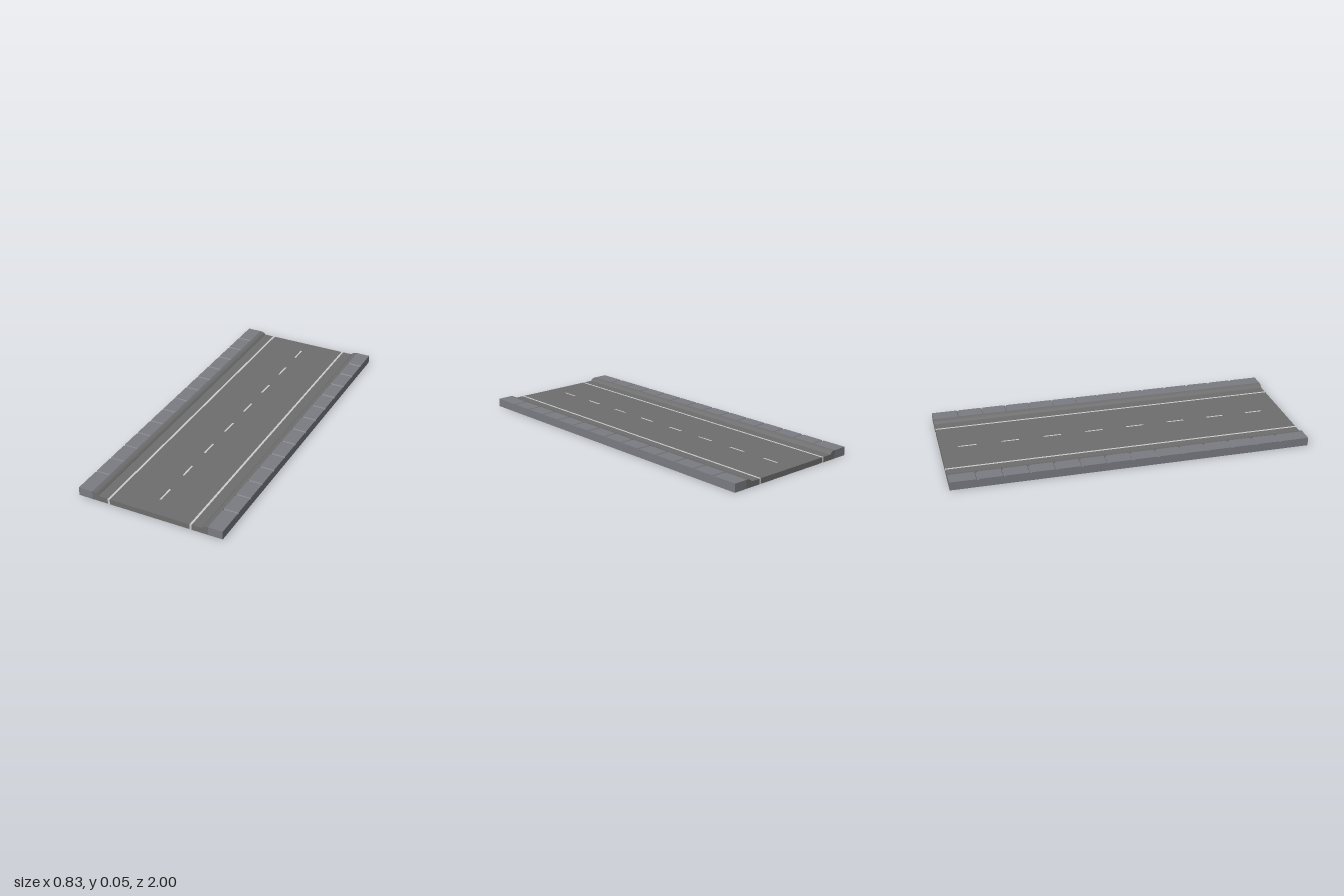
import * as THREE from 'three';

const ROAD_Y = 0.03, WALK_Y = 0.047, GROOVE_Y = 0.042;
const CURB_IN = 0.27, CURB_OUT = 0.336, EDGE = 0.417, HALF = 1;

const material = (color) => new THREE.MeshStandardMaterial({ color, side: THREE.DoubleSide, flatShading: true });

// Thin mesh from four-cornered faces (corners counter-clockwise from the front)
function quadMesh(name, quads, mat) {
  const pos = [];
  for (const [a, b, c, d] of quads) pos.push(...a, ...b, ...c, ...a, ...c, ...d);
  const geo = new THREE.BufferGeometry();
  geo.setAttribute('position', new THREE.Float32BufferAttribute(pos, 3));
  geo.computeVertexNormals();
  const mesh = new THREE.Mesh(geo, mat);
  mesh.name = name;
  return mesh;
}

// Upward panel on the road surface
const panel = (x0, x1, z0, z1) =>
  [[x0, ROAD_Y, z1], [x1, ROAD_Y, z1], [x1, ROAD_Y, z0], [x0, ROAD_Y, z0]];

// Upright end panels at the front and the back
const ends = (x0, x1, y) => [
  [[x0, 0, HALF], [x1, 0, HALF], [x1, y, HALF], [x0, y, HALF]],
  [[x1, 0, -HALF], [x0, 0, -HALF], [x0, y, -HALF], [x1, y, -HALF]],
];

export function createModel() {
  const group = new THREE.Group();
  const asphalt = material(0x6e6e6e);
  const paving = material(0x7a7c82);
  const paint = material(0xc4c4c4);

  // Road surface, open underneath, with the painted areas left out
  const line0 = 0.232, line1 = 0.244, dashHalf = 0.005;
  const road = [], dashes = [];
  for (const [x0, x1] of [[-CURB_IN, -line1], [-line0, -dashHalf], [dashHalf, line0], [line1, CURB_IN]])
    road.push(panel(x0, x1, -HALF, HALF));
  let z = -HALF;
  for (let i = 0; i < 8; i++) {
    const start = -0.9 + i * 0.2405;
    road.push(panel(-dashHalf, dashHalf, z, start));
    dashes.push(panel(-dashHalf, dashHalf, start, start + 0.1));
    z = start + 0.1;
  }
  road.push(panel(-dashHalf, dashHalf, z, HALF));
  for (const [x0, x1] of [[-CURB_IN, -line1], [-line0, line0], [line1, CURB_IN]])
    road.push(...ends(x0, x1, ROAD_Y));
  group.add(quadMesh('roadSurface', road, asphalt), quadMesh('centreDashes', dashes, paint));

  // Lengthwise section of the paving slabs: flat tops with bevelled joints
  const section = [[-HALF, WALK_Y]];
  for (let i = -6; i <= 6; i++) {
    const j = -0.008 + i * 0.1403;
    section.push([j - 0.007, WALK_Y], [j - 0.004, GROOVE_Y], [j + 0.004, GROOVE_Y], [j + 0.007, WALK_Y]);
  }
  section.push([HALF, WALK_Y]);

  for (const s of [1, -1]) {
    const side = s > 0 ? 'left' : 'right';
    const [l0, l1] = s > 0 ? [line0, line1] : [-line1, -line0];
    group.add(quadMesh(side + 'EdgeLine', [panel(l0, l1, -HALF, HALF), ...ends(l0, l1, ROAD_Y)], paint));

    // Curb with a rounded shoulder
    const profile = [
      [CURB_IN, 0], [CURB_OUT, 0], [CURB_OUT, WALK_Y], [0.33, WALK_Y], [0.32, 0.045],
      [0.311, 0.041], [0.304, 0.035], [0.3, ROAD_Y], [CURB_IN, ROAD_Y],
    ];
    const shape = new THREE.Shape(profile.map(([x, y]) => new THREE.Vector2(s * x, y)));
    const curbGeo = new THREE.ExtrudeGeometry(shape, { depth: 2 * HALF, bevelEnabled: false });
    curbGeo.translate(0, 0, -HALF);
    const curb = new THREE.Mesh(curbGeo, asphalt);
    curb.name = side + 'Curb';
    group.add(curb);

    // Sidewalk slabs and outer wall, open underneath
    const [x0, x1] = s > 0 ? [CURB_OUT, EDGE] : [-EDGE, -CURB_OUT];
    const walk = ends(x0, x1, WALK_Y);
    for (let i = 0; i + 1 < section.length; i++) {
      const [za, ya] = section[i], [zb, yb] = section[i + 1];
      walk.push([[x0, yb, zb], [x1, yb, zb], [x1, ya, za], [x0, ya, za]]);
      const X = s * EDGE;
      const wall = [[X, 0, zb], [X, 0, za], [X, ya, za], [X, yb, zb]];
      walk.push(s > 0 ? wall : wall.reverse());
    }
    group.add(quadMesh(side + 'Sidewalk', walk, paving));
  }
  return group;
}
